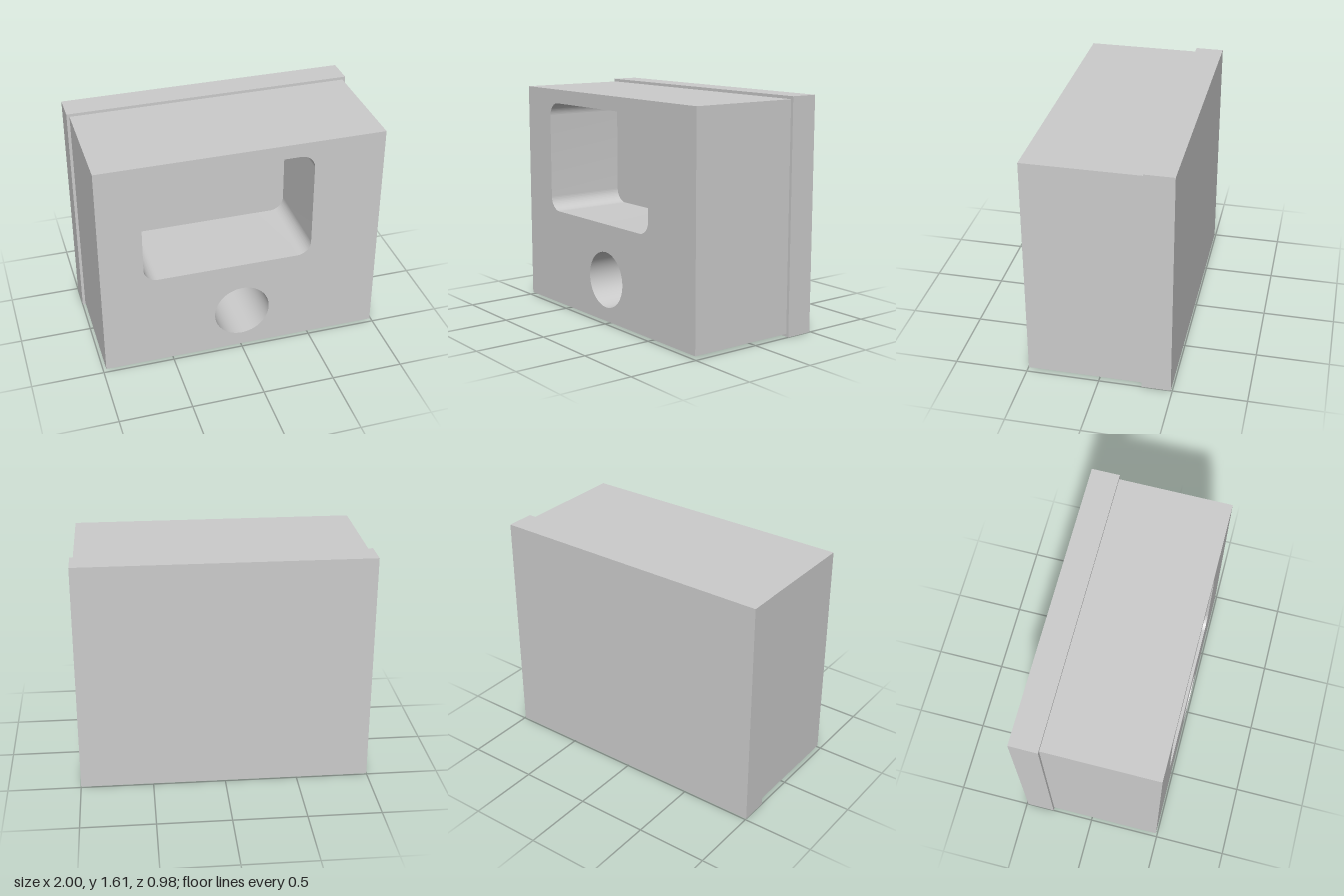
import * as THREE from 'three';
import { toCreasedNormals } from 'three/addons/utils/BufferGeometryUtils.js';

const U = 0.196; // module size: body is 10 x 8 x 4 units
const RIM = 0.02; // overhang of the back cover
const FRONT = 2.5 * U;
const POCKET_DEPTH = 3 * U;

function roundedRect(path, x0, y0, x1, y1, r) {
  path.moveTo(x0 + r, y0);
  path.lineTo(x1 - r, y0);
  path.absarc(x1 - r, y0 + r, r, -Math.PI / 2, 0);
  path.lineTo(x1, y1 - r);
  path.absarc(x1 - r, y1 - r, r, 0, Math.PI / 2);
  path.lineTo(x0 + r, y1);
  path.absarc(x0 + r, y1 - r, r, Math.PI / 2, Math.PI);
  path.lineTo(x0, y0 + r);
  path.absarc(x0 + r, y0 + r, r, Math.PI, Math.PI * 1.5);
  return path;
}

export function createModel() {
  const group = new THREE.Group();
  const material = new THREE.MeshStandardMaterial({ color: 0xcccccc });
  const add = (name, geometry, y, z) => {
    const mesh = new THREE.Mesh(geometry, material);
    mesh.name = name;
    mesh.position.set(0, y, z);
    group.add(mesh);
  };
  const halfW = 5 * U, height = 8 * U, midY = RIM + height / 2;

  // Front block with a rounded window recess and a round bore
  const face = new THREE.Shape([
    new THREE.Vector2(-halfW, 0), new THREE.Vector2(halfW, 0),
    new THREE.Vector2(halfW, height), new THREE.Vector2(-halfW, height),
  ]);
  face.holes.push(
    roundedRect(new THREE.Path(), -3.5 * U, 3.5 * U, 2.5 * U, 7.5 * U, U / 2),
    new THREE.Path().absarc(0, 1.5 * U, U, 0, Math.PI * 2),
  );
  const block = new THREE.ExtrudeGeometry(face, {
    depth: POCKET_DEPTH, bevelEnabled: false, curveSegments: 32,
  });
  add('frontBlock', toCreasedNormals(block, 0.6), RIM, FRONT - POCKET_DEPTH);

  // Solid slab closing the recesses
  add('recessFloor', new THREE.BoxGeometry(2 * halfW, height, U), midY, FRONT - 3.5 * U);

  // Slightly larger back cover
  add('backCover', new THREE.BoxGeometry(2 * (halfW + RIM), height + 2 * RIM, U), midY, FRONT - 4.5 * U);
  return group;
}
